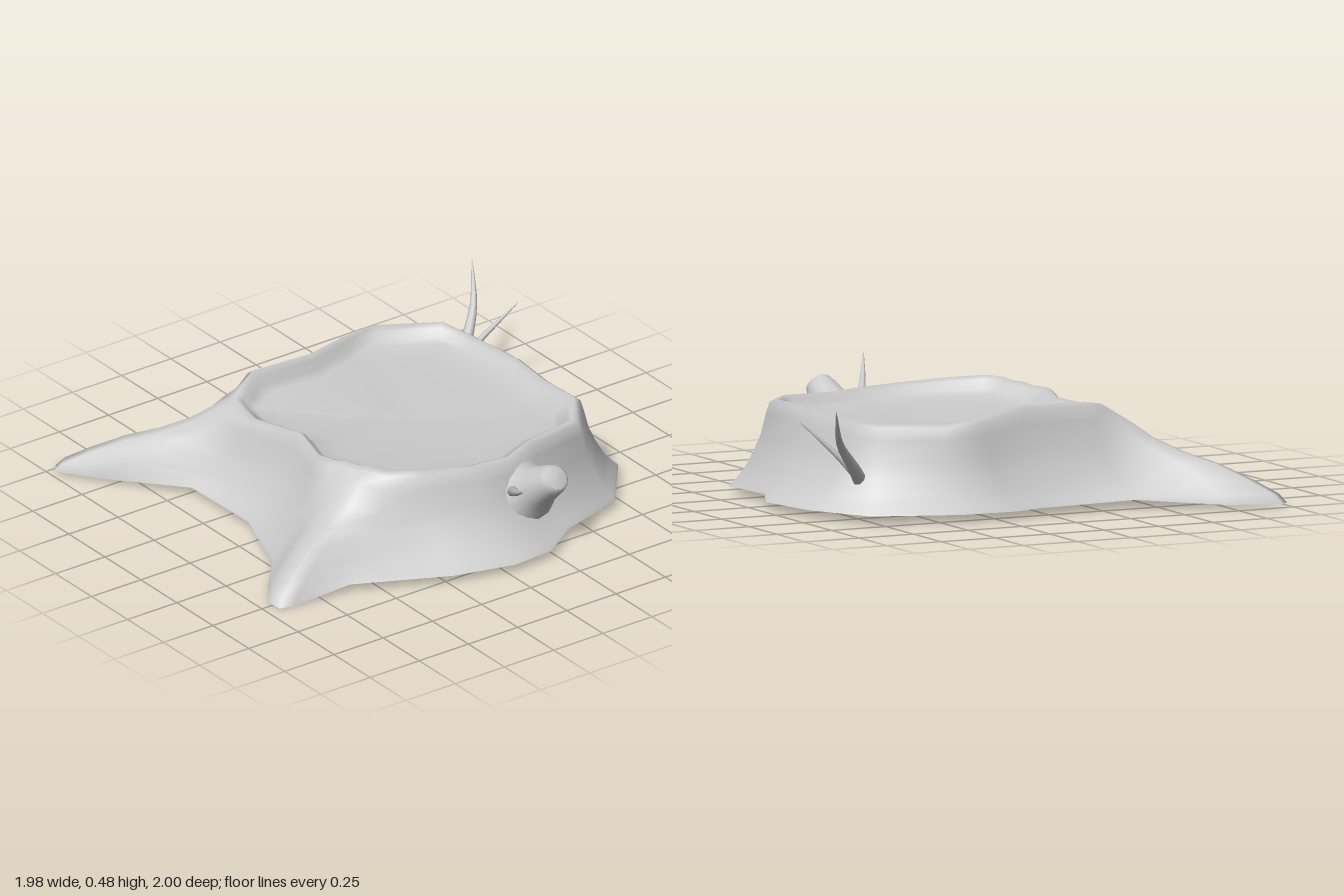
import * as THREE from 'three';

const material = new THREE.MeshStandardMaterial({ color: 0xcccccc, side: THREE.DoubleSide });
const V = (x, y, z) => new THREE.Vector3(x, y, z);

// Each column of bark: foot x, foot z, lip x, lip z, lip height
const COLUMNS = [
  [-0.99, -0.96, -0.44, -0.49, 0.38], [-0.95, -1.00, -0.42, -0.51, 0.39],
  [-0.73, -0.92, -0.38, -0.53, 0.41],
  [-0.41, -0.73, -0.28, -0.58, 0.43], [0.05, -0.77, 0.00, -0.56, 0.43],
  [0.17, -0.81, 0.25, -0.65, 0.40], [0.42, -0.80, 0.43, -0.67, 0.39],
  [0.78, -0.67, 0.67, -0.53, 0.39], [0.92, -0.39, 0.70, -0.35, 0.39],
  [0.97, -0.10, 0.73, -0.08, 0.39], [0.87, 0.11, 0.71, 0.15, 0.39],
  [0.89, 0.39, 0.72, 0.36, 0.39], [0.69, 0.64, 0.60, 0.51, 0.38],
  [0.40, 0.72, 0.35, 0.54, 0.375], [0.22, 0.84, 0.19, 0.61, 0.375],
  [0.03, 0.85, 0.00, 0.60, 0.385], [-0.23, 0.78, -0.20, 0.54, 0.40],
  [-0.62, 0.59, -0.34, 0.47, 0.41], [-0.88, 0.56, -0.38, 0.38, 0.41],
  [-0.94, 0.54, -0.40, 0.33, 0.40], [-0.945, 0.47, -0.42, 0.28, 0.40],
  [-0.88, 0.38, -0.44, 0.22, 0.39],
  [-0.76, 0.24, -0.47, 0.14, 0.39], [-0.63, -0.10, -0.40, -0.08, 0.38],
  [-0.64, -0.48, -0.47, -0.32, 0.37], [-0.87, -0.79, -0.45, -0.43, 0.37],
];

// Grid of rows around the trunk: flared bark, rounded lip, shallow dished top
function trunkGeometry() {
  const centre = V(0.13, 0.305, -0.03);
  // share of the spread, rise of a plain wall, rise along a root
  const bark = [[1, 0, 0], [0.95, 0.03, 0.1], [0.8, 0.1, 0.25], [0.6, 0.22, 0.42], [0.4, 0.39, 0.54],
    [0.22, 0.58, 0.69], [0.09, 0.82, 0.86], [0, 0.96, 0.96]];
  // share of the way to the centre, share of the drop from lip to centre
  const hollow = [[0.035, 0], [0.075, 0.15], [0.1, 0.5], [0.15, 0.7], [0.3, 0.82], [0.6, 0.93], [1, 1]];
  const pos = [], index = [], n = COLUMNS.length;
  for (const [out, wall, root] of bark) {
    for (const [fx, fz, lx, lz, ly] of COLUMNS) {
      const rooted = THREE.MathUtils.clamp((Math.hypot(fx - lx, fz - lz) - 0.38) / 0.15, 0, 1);
      const foot = 0.035 - rooted * (fz > 0 ? 0.033 : 0.018);
      const rise = THREE.MathUtils.lerp(wall, root, rooted);
      pos.push(lx + (fx - lx) * out, foot + (ly - foot) * rise, lz + (fz - lz) * out);
    }
  }
  for (const [inward, drop] of hollow) {
    for (const [, , lx, lz, ly] of COLUMNS) {
      const y = THREE.MathUtils.lerp(ly, centre.y, drop);
      pos.push(lx + (centre.x - lx) * inward, y, lz + (centre.z - lz) * inward);
    }
  }
  const rows = bark.length + hollow.length;
  for (let r = 0; r < rows - 1; r++) {
    for (let i = 0; i < n; i++) {
      const a = r * n + i, b = r * n + (i + 1) % n;
      index.push(a, a + n, b, b, a + n, b + n);
    }
  }
  const g = new THREE.BufferGeometry();
  g.setAttribute('position', new THREE.Float32BufferAttribute(pos, 3));
  g.setIndex(index);
  g.computeVertexNormals();
  return g;
}

// Curved twig tapering from a base radius to a point
function twig(name, points, radius) {
  const curve = new THREE.CatmullRomCurve3(points);
  const rings = 10, sides = 8;
  const g = new THREE.TubeGeometry(curve, rings, radius, sides);
  const p = g.attributes.position, v = V(0, 0, 0);
  for (let i = 0; i < p.count; i++) {
    const t = Math.floor(i / (sides + 1)) / rings;
    const c = curve.getPointAt(t);
    v.fromBufferAttribute(p, i).sub(c).multiplyScalar((1.02 - t) ** 0.8).add(c);
    p.setXYZ(i, v.x, v.y, v.z);
  }
  const mesh = new THREE.Mesh(g, material);
  mesh.name = name;
  return mesh;
}

export function createModel() {
  const model = new THREE.Group();
  model.name = 'treeStump';

  const trunk = new THREE.Mesh(trunkGeometry(), material);
  trunk.name = 'hollowTrunk';
  model.add(trunk);

  // Sawn branch stub on the front, flared where it leaves the trunk
  const profile = [[0.125, 0], [0.105, 0.035], [0.088, 0.08], [0.076, 0.14], [0.066, 0.19],
    [0.058, 0.222], [0.045, 0.232], [0, 0.235]].map(([r, y]) => new THREE.Vector2(r, y));
  const stub = new THREE.Mesh(new THREE.LatheGeometry(profile, 14), material);
  stub.name = 'branchStub';
  const base = V(0.245, 0.23, 0.65), tip = V(0.25, 0.36, 0.835);
  stub.position.copy(base);
  stub.quaternion.setFromUnitVectors(V(0, 1, 0), tip.sub(base).normalize());
  model.add(stub);

  // Bare twigs
  model.add(
    twig('frontTwig', [V(0.14, 0.27, 0.68), V(0.11, 0.3, 0.73), V(0.04, 0.365, 0.85), V(-0.04, 0.455, 1)], 0.022),
    twig('tallBackTwig', [V(0.73, 0.15, -0.49), V(0.78, 0.21, -0.53), V(0.9, 0.34, -0.63), V(0.97, 0.485, -0.735)], 0.031),
    twig('shortBackTwig', [V(0.75, 0.17, -0.51), V(0.83, 0.26, -0.49), V(0.91, 0.34, -0.46), V(0.985, 0.41, -0.435)], 0.019),
  );
  return model;
}
